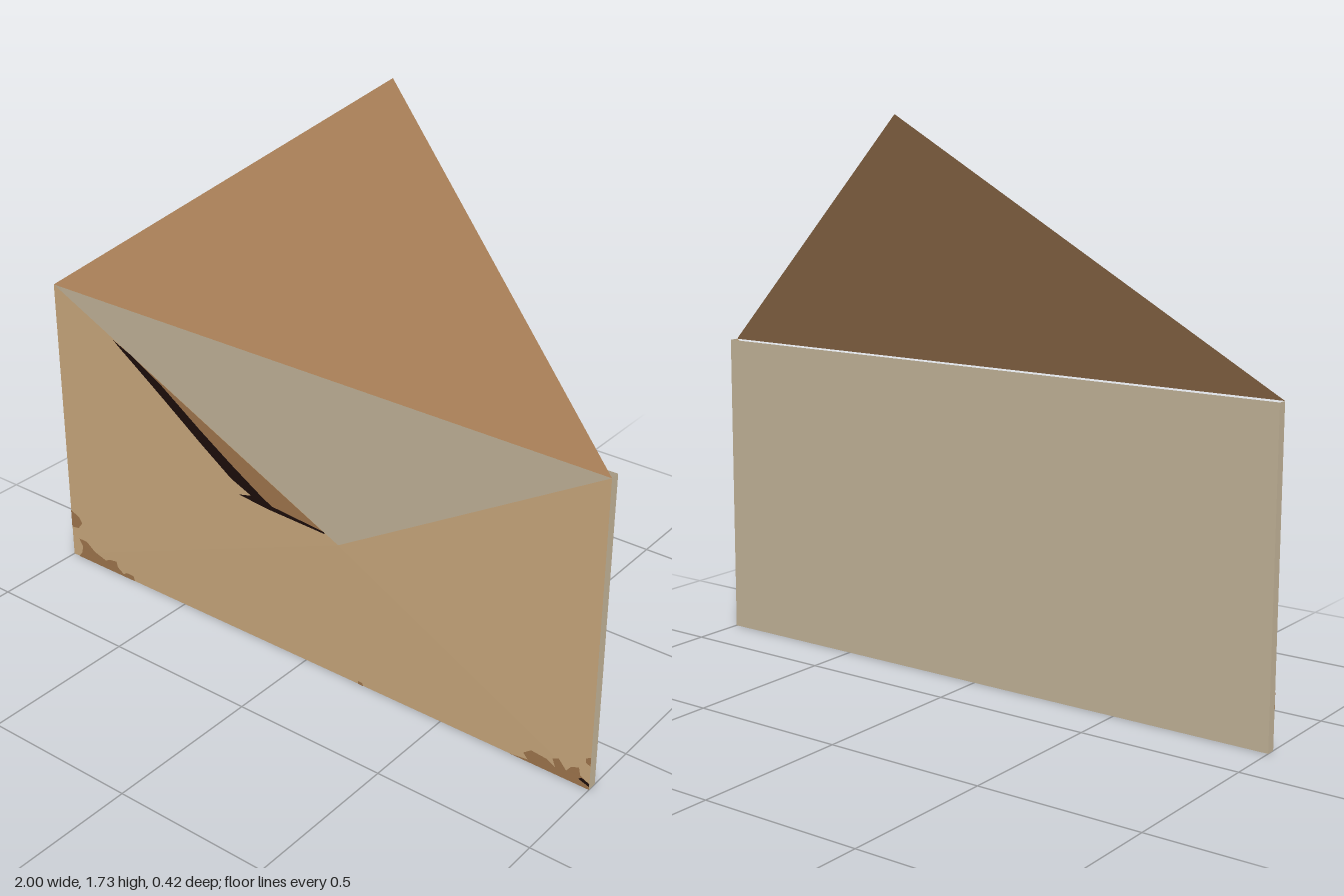
import * as THREE from 'three';

const H = 0.98, BACK = 0.17, FRONT = 0.2;
const APEX = { x: 0.13, y: 0.46, z: 0.207 };

const mat = (name, color) => {
  const m = new THREE.MeshStandardMaterial({ color, side: THREE.DoubleSide });
  m.name = name;
  return m;
};

// Depth of the slightly raised front, which peaks where the folds meet
function frontDepth(x, y) {
  const rise = Math.min(y / APEX.y, (x + 1) / (APEX.x + 1), (1 - x) / (1 - APEX.x));
  return FRONT + (APEX.z - FRONT) * Math.max(0, rise);
}

export function createModel() {
  const group = new THREE.Group();
  const tan = mat('tan paper', 0xcaa97d);
  const beige = mat('beige lining', 0xc2b398);
  const brown = mat('brown flap paper', 0xac8259);
  const stain = mat('worn brown', 0xa0764d);
  const ink = mat('dark torn edge', 0x1c0d0a);

  const add = (name, geometry, material) => {
    const mesh = new THREE.Mesh(geometry, material);
    mesh.name = name;
    group.add(mesh);
    return mesh;
  };

  const triangle = (name, a, b, c, material) => {
    const g = new THREE.BufferGeometry();
    g.setAttribute('position', new THREE.Float32BufferAttribute([...a, ...b, ...c], 3));
    g.computeVertexNormals();
    return add(name, g, material);
  };

  // Back, sides and bottom of the pocket; the top stays open
  const depth = FRONT - BACK, mid = (FRONT + BACK) / 2;
  add('backPanel', new THREE.PlaneGeometry(2, H).rotateY(Math.PI).translate(0, H / 2, BACK), beige);
  for (const s of [-1, 1]) {
    add(s > 0 ? 'leftSide' : 'rightSide',
      new THREE.PlaneGeometry(depth, H).rotateY(s * Math.PI / 2).translate(s, H / 2, mid), beige);
  }
  add('bottomSide', new THREE.PlaneGeometry(2, depth).rotateX(Math.PI / 2).translate(0, 0, mid), beige);

  // Three front folds meeting at the notch
  const apex = [APEX.x, APEX.y, APEX.z];
  const bl = [-1, 0, FRONT], br = [1, 0, FRONT], tl = [-1, H, FRONT], tr = [1, H, FRONT];
  triangle('rightFrontFold', tl, bl, apex, tan);
  triangle('bottomFrontFold', bl, br, apex, tan);
  triangle('leftFrontFold', br, tr, apex, tan);

  // Open flap leaning back
  triangle('openFlap', tl, tr, [0, 1.73, -0.21], brown);

  // Thin painted patches that follow the front folds
  const patch = (name, points, material, lift = 0.001) => {
    const g = new THREE.ShapeGeometry(new THREE.Shape(points.map(([x, y]) => new THREE.Vector2(x, y))));
    const p = g.attributes.position;
    for (let i = 0; i < p.count; i++) p.setZ(i, frontDepth(p.getX(i), p.getY(i)) + lift);
    g.computeVertexNormals();
    return add(name, g, material);
  };

  // Torn edge beside the notch
  patch('tornPaper', [[-0.72, 0.851], [-0.6, 0.775], [-0.4, 0.645], [-0.2, 0.515], [-0.14, 0.498],
    [0.08, 0.483]], stain);
  patch('tornEdge', [[-0.75, 0.862], [-0.72, 0.84], [-0.66, 0.8], [-0.55, 0.725], [-0.4, 0.62],
    [-0.28, 0.54], [-0.2, 0.508], [-0.25, 0.495], [-0.13, 0.485], [0.08, 0.48], [0.08, 0.486],
    [-0.12, 0.5], [-0.16, 0.52], [-0.28, 0.59], [-0.4, 0.665], [-0.55, 0.765], [-0.68, 0.834]], ink, 0.0015);

  // Worn corners
  patch('wornRightEdge', [[-1, 0.105], [-0.97, 0.11], [-0.95, 0.135], [-0.965, 0.155], [-1, 0.168]], stain);
  patch('wornRightCorner', [[-0.975, 0], [-0.72, 0], [-0.725, 0.018], [-0.755, 0.018], [-0.77, 0.008],
    [-0.795, 0.025], [-0.8, 0.045], [-0.83, 0.04], [-0.85, 0.03], [-0.9, 0.045], [-0.935, 0.07],
    [-0.97, 0.07], [-0.955, 0.045], [-0.96, 0.02]], stain);
  patch('wornLeftCorner', [[0.74, 0], [1, 0], [1, 0.02], [0.97, 0.035], [0.965, 0.06], [0.94, 0.05],
    [0.925, 0.03], [0.9, 0.06], [0.88, 0.05], [0.89, 0.025], [0.86, 0.04], [0.81, 0.045],
    [0.785, 0.025], [0.8, 0.008]], stain);
  patch('wornLeftEdge', [[1, 0.08], [1, 0.11], [0.985, 0.1], [0.985, 0.085]], stain);
  patch('wornBottomSpot', [[0.2, 0], [0.22, 0], [0.215, 0.01], [0.2, 0.01]], stain);
  patch('darkCornerNick', [[0.965, 0.022], [1, 0.01], [1, 0.02], [0.975, 0.03]], ink, 0.0015);

  return group;
}
